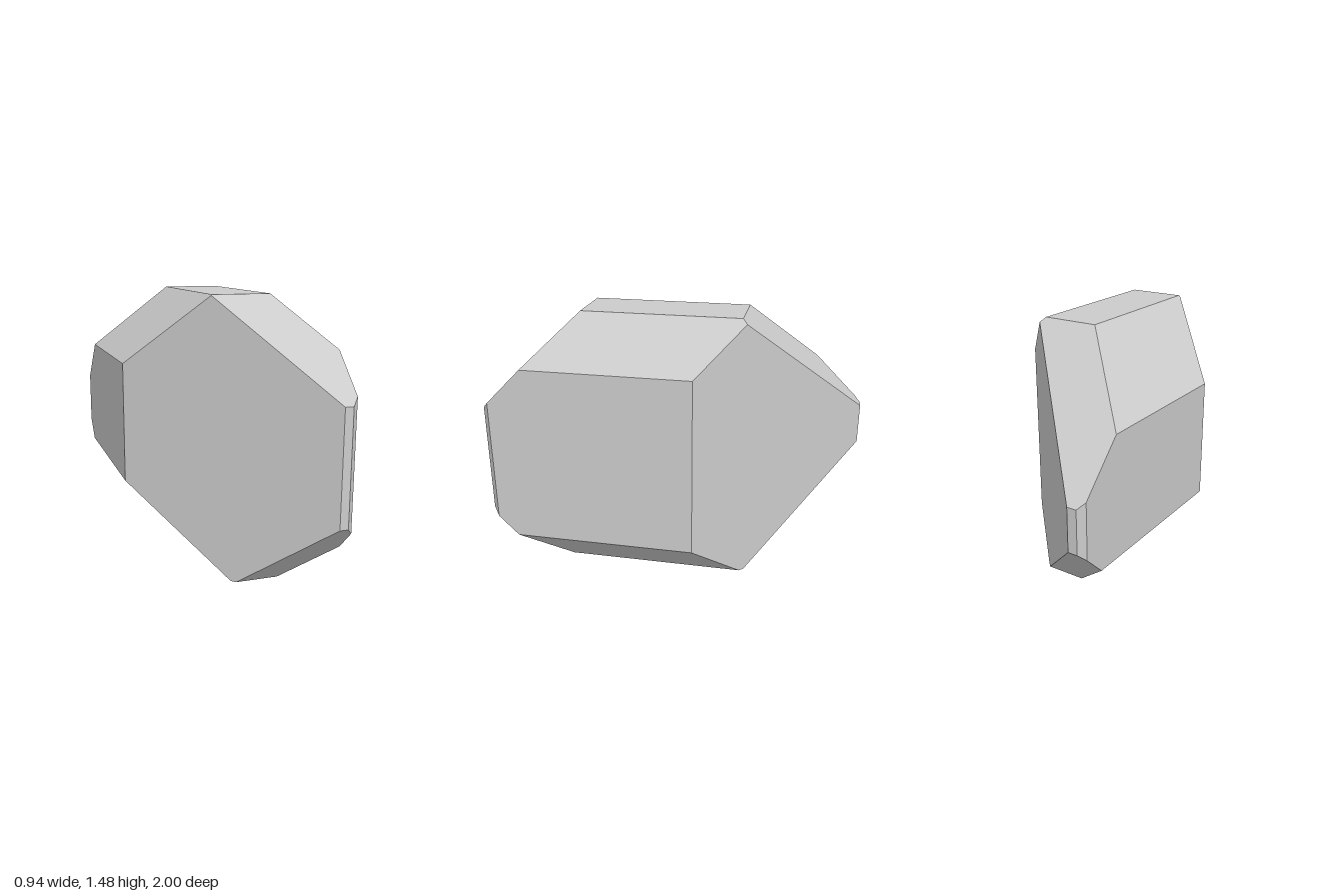
import * as THREE from 'three';
import { ConvexGeometry } from 'three/addons/geometries/ConvexGeometry.js';

// The crystal is a box with all twelve edges cut at 45 degrees.
// Each plane [a, b, c, d] keeps the points where a*x + b*y + c*z <= d.
const planes = [
  // box sides
  [1, 0, 0, 0.471], [-1, 0, 0, 0.471],
  [0, 1, 0, 1.478], [0, -1, 0, 0],
  [0, 0, 1, 1], [0, 0, -1, 1],
  // upright edge cuts
  [1, 0, -1, 0.612], [-1, 0, 1, 0.612], [1, 0, 1, 1.433], [-1, 0, -1, 1.439],
  // left and right edge cuts
  [1, 1, 0, 1.689], [-1, 1, 0, 1.574], [1, -1, 0, 0.236], [-1, -1, 0, 0.016],
  // front and back edge cuts
  [0, 1, 1, 1.985], [0, 1, -1, 1.831], [0, -1, 1, 0.618], [0, -1, -1, 0.4],
];

// Corners are the points where three planes meet inside all the others
function findCorners() {
  const corners = [];
  const n = planes.length;
  for (let i = 0; i < n; i++) for (let j = i + 1; j < n; j++) for (let k = j + 1; k < n; k++) {
    const [p, q, r] = [planes[i], planes[j], planes[k]];
    const m = new THREE.Matrix3().set(...p.slice(0, 3), ...q.slice(0, 3), ...r.slice(0, 3));
    if (Math.abs(m.determinant()) < 1e-6) continue;
    const v = new THREE.Vector3(p[3], q[3], r[3]).applyMatrix3(m.invert());
    const inside = planes.every(([a, b, c, d]) => a * v.x + b * v.y + c * v.z <= d + 1e-6);
    if (inside && !corners.some((o) => o.distanceTo(v) < 1e-4)) corners.push(v);
  }
  return corners;
}

export function createModel() {
  const group = new THREE.Group();
  group.name = 'crystal';
  const body = new THREE.Mesh(
    new ConvexGeometry(findCorners()),
    new THREE.MeshStandardMaterial({ color: 0xcccccc, flatShading: true })
  );
  body.name = 'facetedBody';
  group.add(body);
  return group;
}
